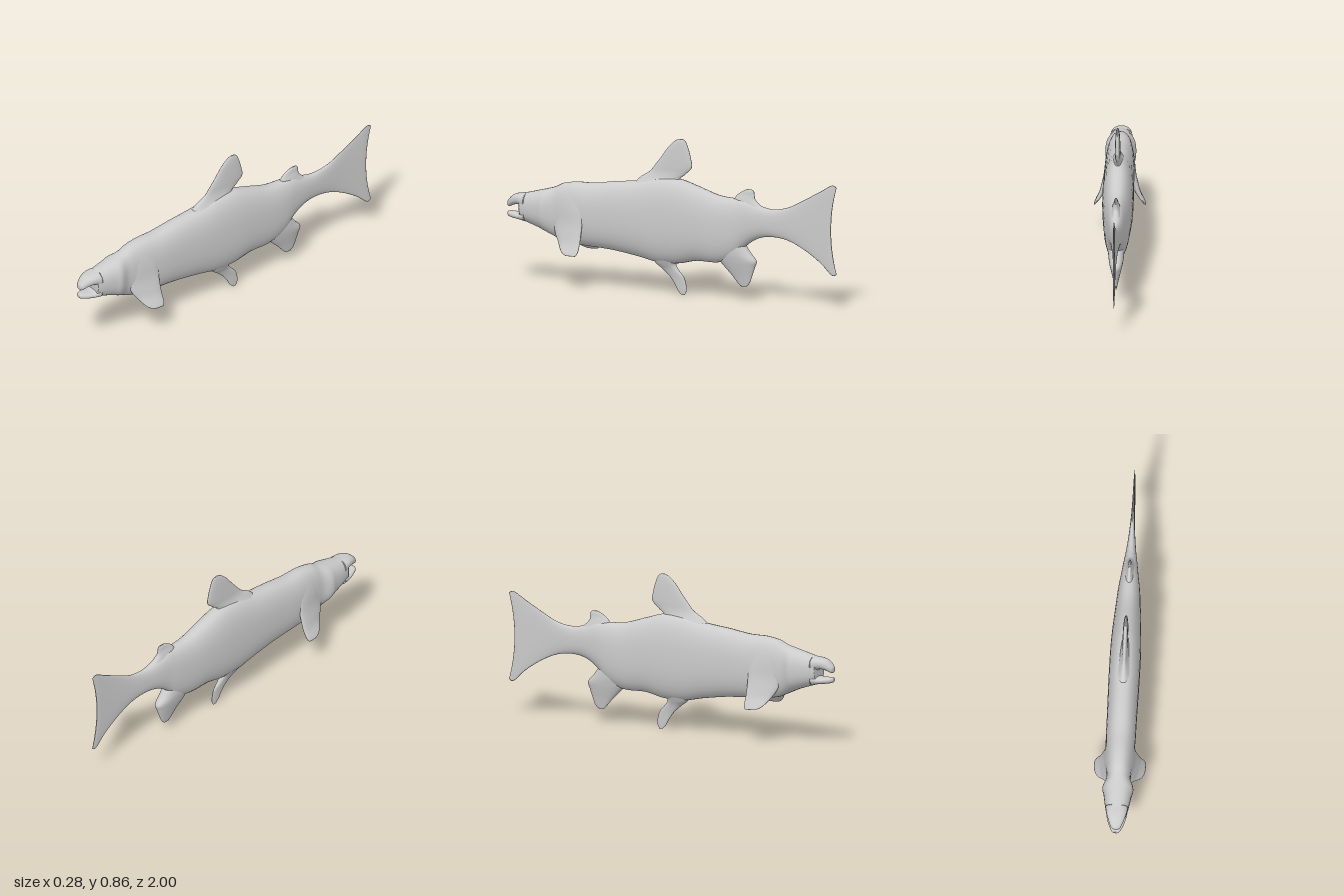
import * as THREE from 'three';

const SEGMENTS = 32, STEPS = 5;

// Smoothly resample rows of section parameters
function resample(rows) {
  const out = [];
  const last = rows.length - 1;
  for (let i = 0; i < last; i++) {
    const p0 = rows[Math.max(i - 1, 0)], p1 = rows[i], p2 = rows[i + 1], p3 = rows[Math.min(i + 2, last)];
    for (let k = 0; k < STEPS; k++) {
      const t = k / STEPS;
      out.push(p1.map((b, c) => {
        const m1 = (p2[c] - p0[c]) / 2, m2 = (p3[c] - b) / 2, d = p2[c] - b;
        return b + t * (m1 + t * (3 * d - 2 * m1 - m2 + t * (m1 + m2 - 2 * d)));
      }));
    }
  }
  out.push(rows[last]);
  return out;
}

// Skin a series of closed sections and close both ends
function loft(name, rows, point, material) {
  const n = SEGMENTS, sections = resample(rows), pos = [], idx = [];
  const power = (v) => Math.sign(v) * Math.pow(Math.abs(v), 0.85);
  for (const s of sections) {
    for (let j = 0; j < n; j++) {
      const a = (j / n) * Math.PI * 2;
      pos.push(...point(s, power(Math.cos(a)), power(Math.sin(a))));
    }
  }
  for (let i = 0; i < sections.length - 1; i++) {
    for (let j = 0; j < n; j++) {
      const a = i * n + j, b = i * n + (j + 1) % n;
      idx.push(a, a + n, b, b, a + n, b + n);
    }
  }
  const end = (sections.length - 1) * n;
  for (let j = -n / 4; j < n / 4; j++) {
    const [a, b, c, d] = [j, j + 1, n / 2 - j - 1, n / 2 - j].map((v) => (v + n) % n);
    idx.push(a, b, c, a, c, d);
    idx.push(end + a, end + c, end + b, end + a, end + d, end + c);
  }
  const geo = new THREE.BufferGeometry();
  geo.setAttribute('position', new THREE.Float32BufferAttribute(pos, 3));
  geo.setIndex(idx);
  geo.computeVertexNormals();
  const mesh = new THREE.Mesh(geo, material);
  mesh.name = name;
  return mesh;
}

// Body section: [z, top, bottom, half width, bow]
const bodyPoint = ([z, top, bottom, w, bow], c, s) =>
  [w * c, (top + bottom) / 2 + (top - bottom) / 2 * s, z + bow * (1 - s * s)];

// Fin section: [y, front z, back z, centre x, half thickness, slant]
const finPoint = ([y, front, back, x, t, slant], c, s) =>
  [x + t * c - slant * (front - back) * (s + 1) / 2, y, (front + back) / 2 + (front - back) / 2 * s];

export function createModel() {
  const fish = new THREE.Group();
  fish.name = 'fish';
  const material = new THREE.MeshStandardMaterial({ color: 0xcccccc, side: THREE.DoubleSide });

  // Head, trunk and tail in one skin
  fish.add(loft('bodyAndTail', [
    [0.91, 0.488, 0.342, 0.055, 0],
    [0.87, 0.497, 0.328, 0.064, 0],
    [0.80, 0.515, 0.305, 0.076, 0],
    [0.76, 0.525, 0.288, 0.084, 0],
    [0.71, 0.54, 0.265, 0.067, 0],
    [0.66, 0.563, 0.245, 0.069, 0],
    [0.58, 0.576, 0.232, 0.076, 0],
    [0.48, 0.578, 0.226, 0.081, 0],
    [0.35, 0.597, 0.217, 0.082, 0],
    [0.20, 0.615, 0.195, 0.084, 0],
    [0.08, 0.64, 0.172, 0.085, 0],
    [-0.04, 0.642, 0.175, 0.084, 0],
    [-0.15, 0.612, 0.198, 0.079, 0],
    [-0.28, 0.572, 0.2, 0.07, 0],
    [-0.38, 0.563, 0.235, 0.061, 0],
    [-0.45, 0.56, 0.305, 0.05, 0],
    [-0.52, 0.537, 0.35, 0.04, 0],
    [-0.60, 0.52, 0.366, 0.028, 0],
    [-0.70, 0.535, 0.355, 0.017, 0],
    [-0.80, 0.585, 0.312, 0.01, 0],
    [-0.90, 0.64, 0.247, 0.007, 0.005],
    [-0.97, 0.68, 0.183, 0.006, 0.022],
    [-1.00, 0.67, 0.19, 0.002, 0.035],
  ], bodyPoint, material));

  // Open mouth
  fish.add(loft('upperJaw', [
    [0.88, 0.492, 0.4, 0.061, 0],
    [0.92, 0.488, 0.424, 0.054, 0],
    [0.96, 0.478, 0.42, 0.041, 0],
    [0.99, 0.452, 0.408, 0.026, 0],
    [1.0, 0.438, 0.415, 0.012, 0],
  ], bodyPoint, material));
  fish.add(loft('lowerJaw', [
    [0.88, 0.4, 0.333, 0.058, 0],
    [0.92, 0.381, 0.342, 0.051, 0],
    [0.96, 0.382, 0.347, 0.038, 0],
    [0.99, 0.384, 0.353, 0.024, 0],
    [1.0, 0.378, 0.36, 0.012, 0],
  ], bodyPoint, material));

  // Fins along the centre line
  fish.add(loft('dorsalFin', [
    [0.59, 0.24, -0.1, 0, 0.05, 0],
    [0.635, 0.195, -0.045, 0, 0.025, 0],
    [0.67, 0.14, -0.08, 0, 0.016, 0],
    [0.71, 0.105, -0.118, 0, 0.015, 0],
    [0.76, 0.065, -0.112, 0, 0.014, 0],
    [0.81, 0.028, -0.098, 0, 0.012, 0],
    [0.848, -0.012, -0.082, 0, 0.008, 0],
    [0.862, -0.038, -0.065, 0, 0.003, 0],
  ], finPoint, material));
  fish.add(loft('adiposeFin', [
    [0.52, -0.35, -0.55, 0, 0.03, 0],
    [0.56, -0.378, -0.507, 0, 0.02, 0],
    [0.585, -0.397, -0.5, 0, 0.012, 0],
    [0.607, -0.43, -0.497, 0, 0.008, 0],
    [0.618, -0.455, -0.485, 0, 0.003, 0],
  ], finPoint, material));
  fish.add(loft('pelvicFin', [
    [0.002, -0.055, -0.075, 0, 0.002, 0],
    [0.025, -0.033, -0.085, 0, 0.004, 0],
    [0.06, -0.013, -0.084, 0, 0.006, 0],
    [0.1, 0.017, -0.07, 0, 0.01, 0],
    [0.14, 0.062, -0.035, 0, 0.018, 0],
    [0.17, 0.1, -0.02, 0, 0.032, 0],
    [0.21, 0.12, -0.04, 0, 0.05, 0],
  ], finPoint, material));
  fish.add(loft('analFin', [
    [0.079, -0.415, -0.45, 0, 0.003, 0],
    [0.1, -0.395, -0.47, 0, 0.008, 0],
    [0.14, -0.36, -0.485, 0, 0.017, 0],
    [0.19, -0.31, -0.502, 0, 0.03, 0],
    [0.225, -0.28, -0.51, 0, 0.038, 0],
    [0.265, -0.27, -0.475, 0, 0.044, 0],
    [0.32, -0.28, -0.435, 0, 0.045, 0],
  ], finPoint, material));

  // Mirrored pectoral fins flaring from behind the gills
  for (const [name, side] of [['leftPectoralFin', 1], ['rightPectoralFin', -1]]) {
    fish.add(loft(name, [
      [0.187, 0.585, 0.525, 0.138, 0.004, 0.05],
      [0.205, 0.62, 0.514, 0.128, 0.01, 0.1],
      [0.25, 0.655, 0.513, 0.105, 0.017, 0.17],
      [0.3, 0.685, 0.513, 0.09, 0.02, 0.18],
      [0.36, 0.695, 0.513, 0.077, 0.02, 0.16],
      [0.44, 0.68, 0.515, 0.066, 0.019, 0.1],
      [0.51, 0.655, 0.53, 0.05, 0.016, 0.05],
      [0.56, 0.62, 0.55, 0.025, 0.01, 0],
    ].map(([y, f, b, x, t, k]) => [y, f, b, x * side, t, k * side]), finPoint, material));
  }
  return fish;
}
